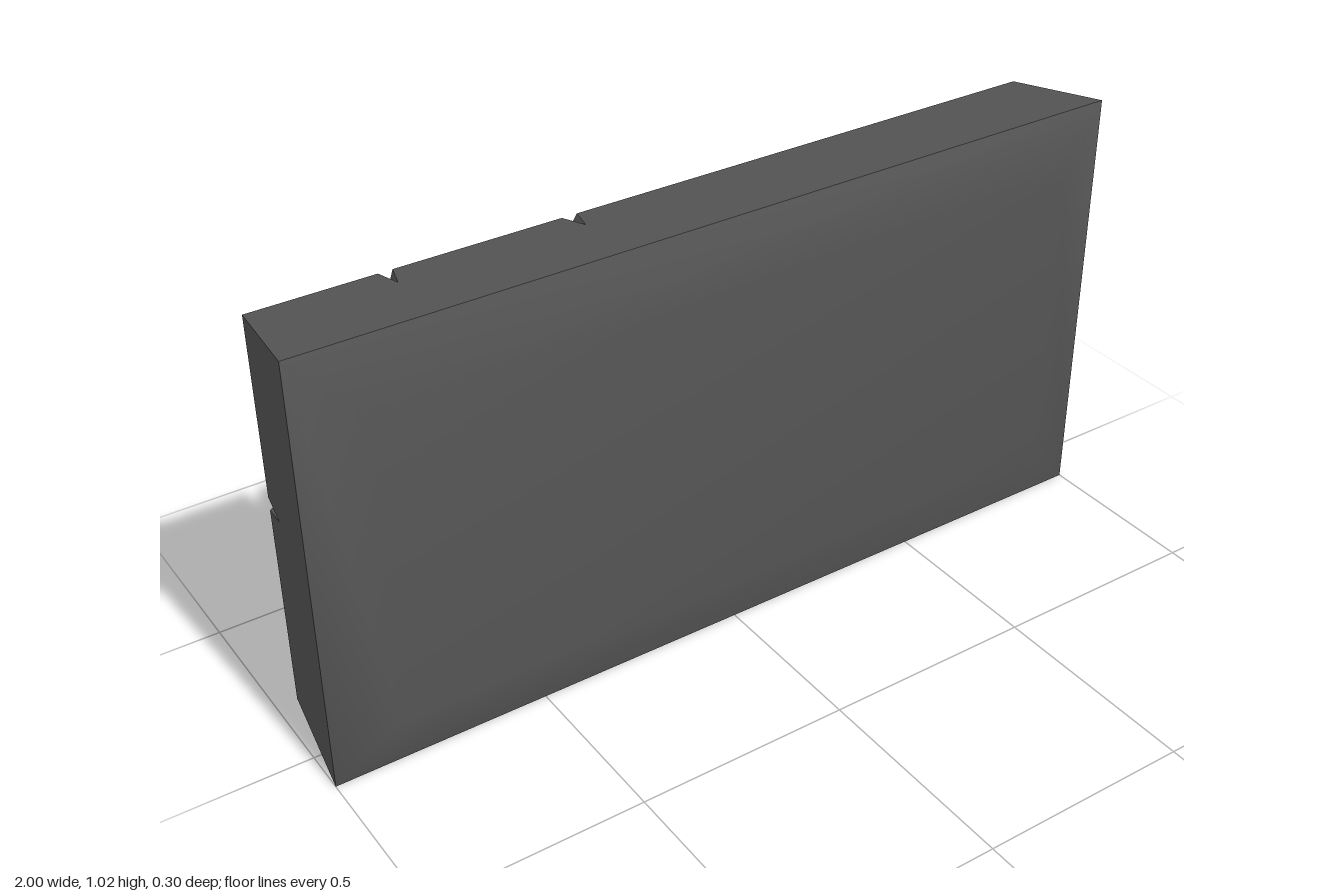
import * as THREE from 'three';

const CY = 0.5125;                              // slab centre height
const RIM = { x: 1, y: 0.5125, z: 0.105 };      // widest outline
const BACK = { x: 0.965, y: 0.475, z: -0.15 };  // back outline
const FRONT = { x: 0.86, y: 0.375, z: 0.15 };   // front outline
const NOTCH = 0.725;                            // crack depth as a share of the wall, from the rim
const DEPTH = THREE.MathUtils.lerp(RIM.z, BACK.z, NOTCH);
const TOP = CY + BACK.y, BOTTOM = CY - BACK.y;

const stone = new THREE.MeshStandardMaterial({ color: 0x555555 });
const panelStone = new THREE.MeshStandardMaterial({ color: 0x4c4c4c });
const crackStone = new THREE.MeshStandardMaterial({ color: 0x555555, side: THREE.DoubleSide });

// Flat outline, turned to face away from +z and placed by a rule (a, b) -> [x, y, z]
function sheet(points, place) {
  const geo = new THREE.ShapeGeometry(new THREE.Shape(points.map(([a, b]) => new THREE.Vector2(a, b))));
  const pos = geo.attributes.position;
  for (let i = 0; i < pos.count; i++) pos.setXYZ(i, ...place(pos.getX(i), pos.getY(i)));
  geo.setIndex(Array.from(geo.index.array).reverse());
  geo.computeVertexNormals();
  return geo;
}

// Corners of an outline, anticlockwise from the front
const corners = (o) => [[-1, -1], [1, -1], [1, 1], [-1, 1]].map(([sx, sy]) => [sx * o.x, CY + sy * o.y, o.z]);

// Front face with its sloping border, softly shaded across the inner edge
function frontGeometry() {
  const geo = new THREE.BufferGeometry();
  geo.setAttribute('position', new THREE.Float32BufferAttribute([...corners(RIM), ...corners(FRONT)].flat(), 3));
  const index = [4, 5, 6, 4, 6, 7];
  for (let i = 0; i < 4; i++) {
    const j = (i + 1) % 4;
    index.push(i, j, j + 4, i, j + 4, i + 4);
  }
  geo.setIndex(index);
  geo.computeVertexNormals();
  return geo;
}

// Side wall i from the rim to the back; notches are [start, middle, end] along its length
function wallGeometry(i, notches) {
  const mix = THREE.MathUtils.lerp, r = corners(RIM), b = corners(BACK), j = (i + 1) % 4;
  const outline = [[0, 0], [1, 0], [1, 1]];
  for (const [s, m, e] of notches) outline.push([e, 1], [m, NOTCH], [s, 1]);
  outline.push([0, 1]);
  return sheet(outline, (u, w) => [0, 1, 2].map((k) => mix(mix(r[i][k], r[j][k], u), mix(b[i][k], b[j][k], u), w)));
}

// Crack: centre line plus two edges, the offset direction turning from angle a0 to a1
function crack(line, half, a0, a1) {
  const side = (s) => line.map(([x, y], i) => {
    const a = THREE.MathUtils.lerp(a0, a1, i / (line.length - 1));
    return [x + s * half * Math.cos(a), y + s * half * Math.sin(a)];
  });
  const mid = line.map(([x, y], i) => {
    const end = i === 0 || i === line.length - 1;
    const kx = end ? 1.01 : 1, ky = end ? 1.0217 : 1;   // reach the sloping wall
    return [x * kx, CY + (y - CY) * ky];
  });
  return { plus: side(1), minus: side(-1), mid };
}

// One wall of a crack, from its edge down to the centre line
function grooveSide(edge, mid, skip = -1) {
  const pos = [];
  for (let i = 0; i < edge.length - 1; i++) {
    if (i === skip) continue;
    const [a, b] = [edge[i], edge[i + 1]].map((p) => [...p, BACK.z]);
    const [c, d] = [mid[i], mid[i + 1]].map((p) => [...p, DEPTH]);
    pos.push(...a, ...c, ...b, ...b, ...c, ...d);
  }
  const geo = new THREE.BufferGeometry();
  geo.setAttribute('position', new THREE.Float32BufferAttribute(pos, 3));
  geo.computeVertexNormals();
  return geo;
}

// Trim an outline to the panel rectangle
function clip(points, hx, y0, y1) {
  for (const [axis, limit, sign] of [[0, hx, 1], [0, -hx, -1], [1, y1, 1], [1, y0, -1]]) {
    const out = [];
    points.forEach((p, i) => {
      const q = points[(i + 1) % points.length];
      const dp = sign * (limit - p[axis]), dq = sign * (limit - q[axis]);
      if (dp >= 0) out.push(p);
      if (dp * dq < 0) {
        const t = dp / (dp - dq);
        out.push([p[0] + (q[0] - p[0]) * t, p[1] + (q[1] - p[1]) * t]);
      }
    });
    points = out;
  }
  return points;
}

export function createModel() {
  const model = new THREE.Group();
  model.name = 'crackedSlab';
  const add = (name, geo, mat = stone) => {
    const mesh = new THREE.Mesh(geo, mat);
    mesh.name = name;
    model.add(mesh);
  };

  // Long crack from top to bottom, short one from top to side, and a link between them
  const long = crack([[-0.245, TOP], [-0.29, 0.92], [-0.355, 0.838], [-0.426, 0.749], [-0.468, 0.68], [-0.5, 0.59],
    [-0.507, 0.555], [-0.527, 0.427], [-0.562, 0.276], [-0.58, 0.15], [-0.587, BOTTOM]], 0.018, 0, 0);
  const short = crack([[-0.665, TOP], [-0.695, 0.9], [-0.735, 0.8], [-0.767, 0.74], [-0.79, 0.705],
    [-0.853, 0.627], [-0.911, 0.578], [-BACK.x, 0.55]], 0.016, 0, -Math.PI / 2);
  const link = crack([[-0.56, 0.585], [-0.604, 0.605], [-0.693, 0.655], [-0.74, 0.69]], 0.016, Math.PI / 2, Math.PI / 2);
  const J = 5, K = 3;                           // where the link meets the other two
  const mean = (p, q) => [(p[0] + q[0]) / 2, (p[1] + q[1]) / 2];
  const linkTop = [long.minus[J], ...link.plus, short.plus[K]];
  const linkLow = [long.minus[J + 1], ...link.minus, short.plus[K + 1]];
  const linkMid = linkTop.map((p, i) => mean(p, linkLow[i]));
  linkMid[0] = mean(long.mid[J], long.mid[J + 1]);
  linkMid[linkMid.length - 1] = mean(short.mid[K], short.mid[K + 1]);

  // Pieces of the back face between the cracks, each with its part of the inner panel
  const pieces = {
    largeBackPiece: [...long.plus, [BACK.x, BOTTOM], [BACK.x, TOP]],
    upperBackPiece: [...long.minus.slice(0, J), ...linkTop, ...short.plus.slice(0, K).reverse()],
    lowerBackPiece: [...long.minus.slice(J + 2), [-BACK.x, BOTTOM],
      ...short.plus.slice(K + 2).reverse(), ...linkLow.slice().reverse()],
    cornerBackPiece: [...short.minus, [-BACK.x, TOP]],
  };
  for (const [name, outline] of Object.entries(pieces)) {
    add(name, sheet(outline, (x, y) => [x, y, BACK.z]));
    add(name + 'Panel', sheet(clip(outline, 0.83, 0.168, 0.857), (x, y) => [x, y, BACK.z - 0.002]), panelStone);
  }

  // Crack walls
  add('longCrackInner', grooveSide(long.plus, long.mid), crackStone);
  add('longCrackOuter', grooveSide(long.minus, long.mid, J), crackStone);
  add('shortCrackInner', grooveSide(short.plus, short.mid, K), crackStone);
  add('shortCrackOuter', grooveSide(short.minus, short.mid), crackStone);
  add('linkCrackUpper', grooveSide(linkTop, linkMid), crackStone);
  add('linkCrackLower', grooveSide(linkLow, linkMid), crackStone);

  // Front and side walls, notched where cracks run out
  add('frontFace', frontGeometry());
  const notch = (c, i, f) => [c.plus[i], mean(c.plus[i], c.minus[i]), c.minus[i]].map(f).sort((a, b) => a - b);
  const alongTop = ([x]) => (BACK.x - x) / (2 * BACK.x);
  const alongBottom = ([x]) => (BACK.x + x) / (2 * BACK.x);
  const alongSide = ([, y]) => (TOP - y) / (2 * BACK.y);
  add('bottomWall', wallGeometry(0, [notch(long, long.mid.length - 1, alongBottom)]));
  add('leftWall', wallGeometry(1, []));
  add('topWall', wallGeometry(2, [notch(short, 0, alongTop), notch(long, 0, alongTop)]));
  add('rightWall', wallGeometry(3, [notch(short, short.mid.length - 1, alongSide)]));
  return model;
}
